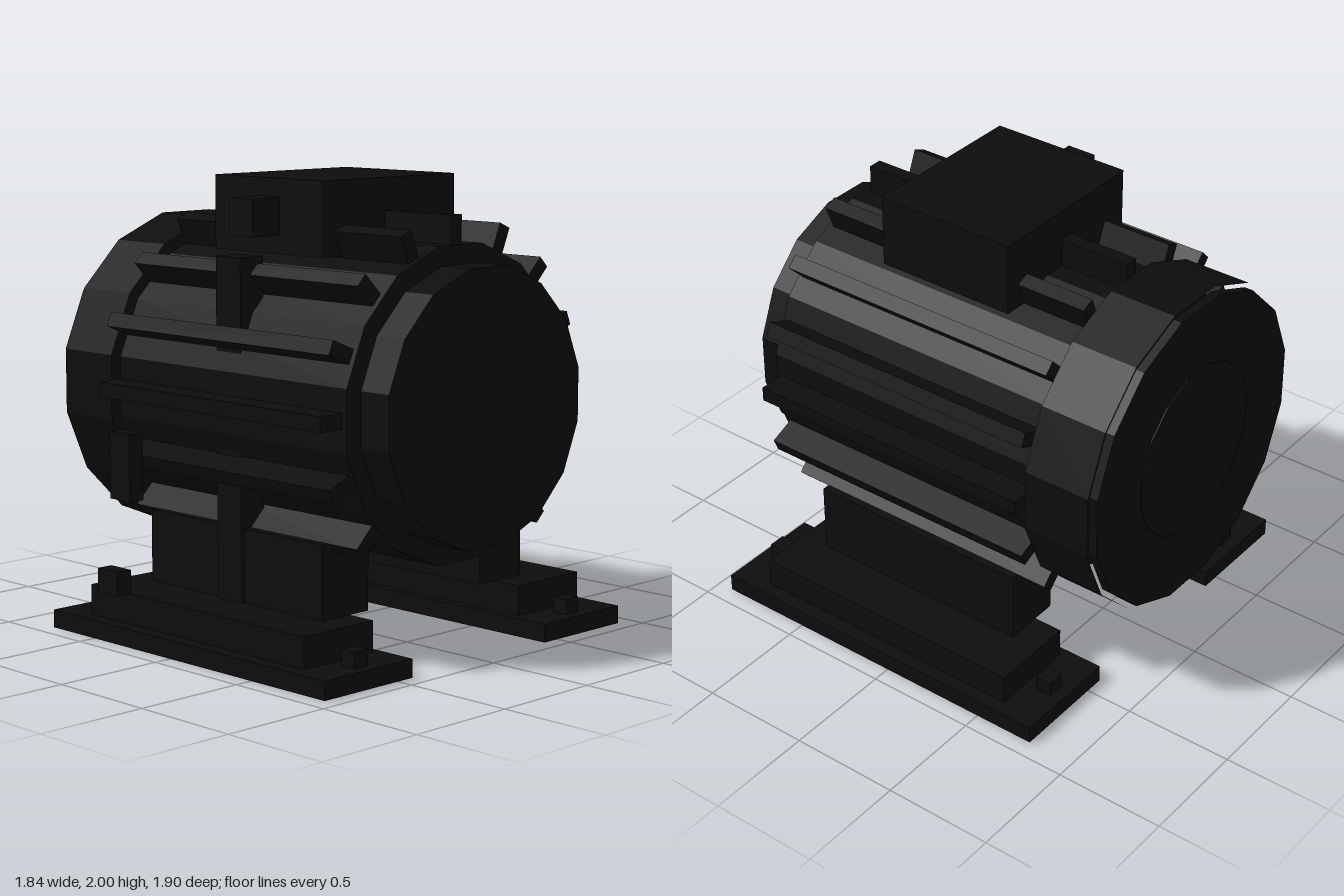
import * as THREE from 'three';

const AXIS_Y = 1.07; // height of the motor axis
const SIDES = 16;

export function createModel() {
  const motor = new THREE.Group();
  motor.name = 'electricMotor';
  const black = new THREE.MeshStandardMaterial({ color: 0x0d0d0d, flatShading: true });
  black.name = 'black';

  const add = (name, geometry) => {
    const mesh = new THREE.Mesh(geometry, black);
    mesh.name = name;
    motor.add(mesh);
    return mesh;
  };
  // Box given by its limits on each axis
  const box = (name, x0, x1, y0, y1, z0, z1) =>
    add(name, new THREE.BoxGeometry(x1 - x0, y1 - y0, z1 - z0)
      .translate((x0 + x1) / 2, (y0 + y1) / 2, (z0 + z1) / 2));
  // Prism along z, with flats at the top, bottom and sides
  const drum = (name, apothem, z0, z1, open = false) => {
    const r = apothem / Math.cos(Math.PI / SIDES);
    return add(name, new THREE.CylinderGeometry(r, r, z1 - z0, SIDES, 1, open, Math.PI / SIDES)
      .rotateX(Math.PI / 2).translate(0, AXIS_Y, (z0 + z1) / 2));
  };

  // Housing, from front to back
  drum('frontBell', 0.585, 0.79, 0.95);
  drum('housing', 0.667, -0.6, 0.795);
  drum('fanShroud', 0.718, -0.915, -0.6, true);
  drum('rearCover', 0.695, -0.945, -0.905);
  drum('rearCoverCentre', 0.39, -0.95, -0.94);

  // Cooling fins around all but the underside
  for (let i = -2; i <= 10; i++) {
    const fin = add('coolingFin', new THREE.BoxGeometry(0.19, 0.065, 1.37).translate(0.695, 0, 0.085));
    fin.position.y = AXIS_Y;
    fin.rotation.z = (i * Math.PI) / 8;
  }

  // Terminal box with its cable entry
  box('terminalBox', -0.4, 0.4, 1.68, 2.0, -0.27, 0.39);
  box('cableEntry', -0.556, -0.39, 1.76, 1.92, -0.01, 0.13);

  // Conduit and small fittings on the right side
  box('conduit', -0.635, -0.505, 0.215, 1.68, -0.01, 0.14);
  box('ratingPlate', -0.85, -0.775, 0.615, 0.91, -0.46, -0.33);
  box('groundLug', -0.925, -0.85, 0.215, 0.32, -0.46, -0.33);

  // Feet, mirrored
  for (const s of [-1, 1]) {
    const pair = (name, a, b, y0, y1, z0, z1) =>
      box(name, Math.min(s * a, s * b), Math.max(s * a, s * b), y0, y1, z0, z1);
    pair('leg', 0.347, 0.617, 0.215, 0.535, -0.46, 0.605);
    pair('footBlock', 0.455, 0.853, 0.08, 0.215, -0.595, 0.74);
    pair('basePlate', 0.415, 0.918, 0, 0.08, -0.78, 0.925);
    for (const z of [-0.687, 0.835]) pair('mountingBolt', 0.62, 0.7, 0.08, 0.148, z - 0.038, z + 0.038);
  }

  return motor;
}
